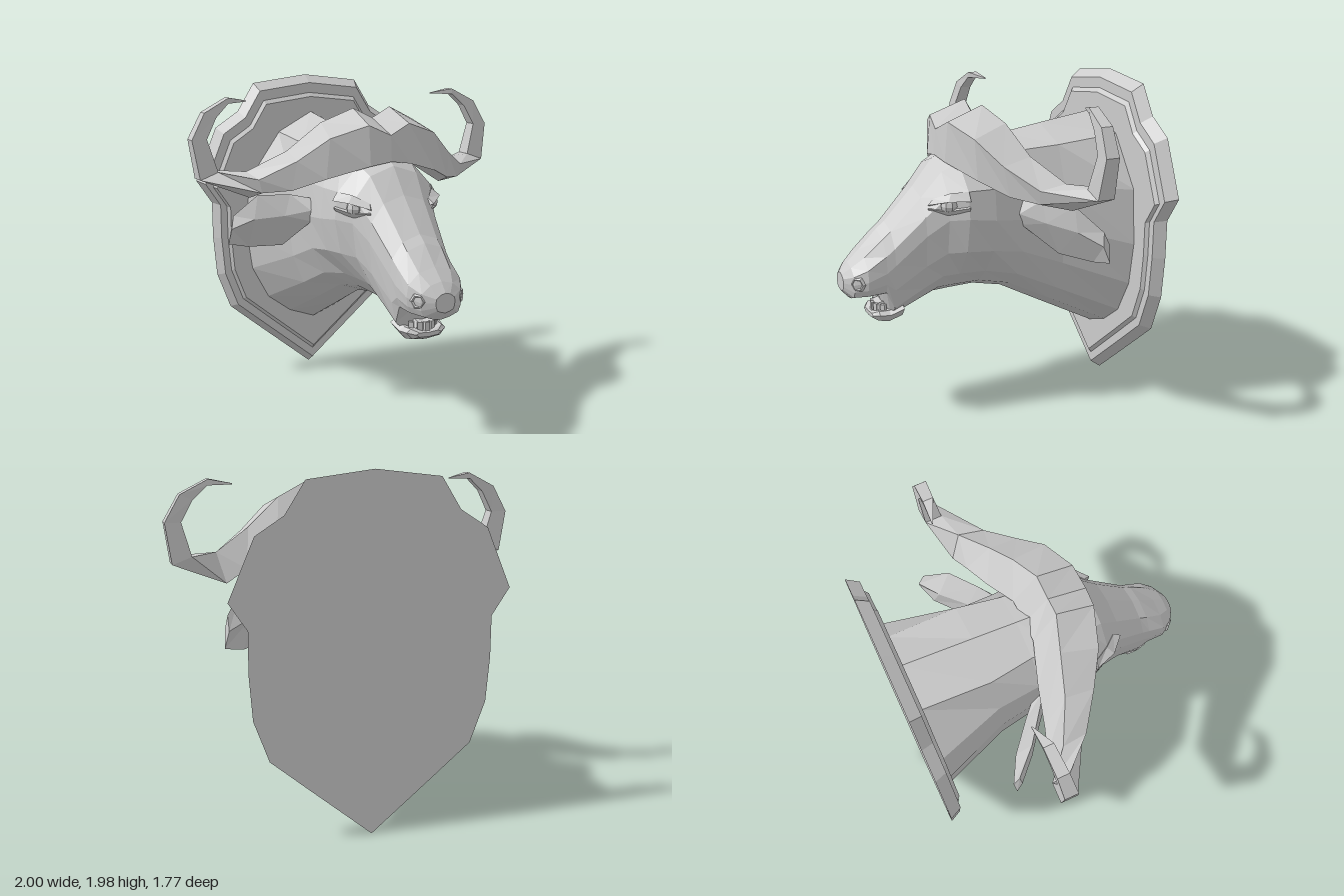
import * as THREE from 'three';

const material = new THREE.MeshStandardMaterial({ color: 0xcccccc, flatShading: true });

// Closed skin through rings of [x, y, z] points, with capped ends, facing outwards
function loft(name, rings) {
  const tris = [];
  const n = rings[0].length;
  for (let i = 0; i < rings.length - 1; i++) {
    for (let j = 0; j < n; j++) {
      const k = (j + 1) % n;
      const a = rings[i][j], b = rings[i][k], c = rings[i + 1][j], d = rings[i + 1][k];
      tris.push([a, c, b], [b, c, d]);
    }
  }
  const first = rings[0], last = rings[rings.length - 1];
  for (let j = 1; j < n - 1; j++) {
    tris.push([first[0], first[j], first[j + 1]], [last[0], last[j + 1], last[j]]);
  }
  // The signed volume tells whether the skin is inside out
  let volume = 0;
  const v = (p) => new THREE.Vector3(...p);
  for (const [a, b, c] of tris) volume += v(a).dot(v(b).cross(v(c)));
  if (volume < 0) tris.forEach((t) => t.reverse());
  const geometry = new THREE.BufferGeometry();
  geometry.setAttribute('position', new THREE.Float32BufferAttribute(tris.flat(2), 3));
  geometry.computeVertexNormals();
  const mesh = new THREE.Mesh(geometry, material);
  mesh.name = name;
  return mesh;
}

const lerp = THREE.MathUtils.lerp;
const flip = (ring) => ring.map(([x, y, z]) => [-x, y, z]);

// Full ring at depth z from a half profile running top centre to bottom centre
function symmetricRing(z, half) {
  const side = half.map(([x, y]) => [x, y, z]);
  return [...side, ...flip(side.slice(1, -1)).reverse()];
}

function addPair(group, name, rings) {
  group.add(loft(name + 'Left', rings), loft(name + 'Right', rings.map(flip)));
}

// Shield outline repeated at smaller scales to make the stepped edge
function createPlaque() {
  const outline = [[0, 1.99], [0.365, 1.945], [0.475, 1.77], [0.63, 1.67], [0.77, 1.34], [0.67, 1.19],
    [0.67, 0.96], [0.65, 0.71], [0.565, 0.48], [0.35, 0.3], [0, 0.01]];
  const steps = [[-0.89, 1], [-0.82, 0.95], [-0.82, 0.885], [-0.8, 0.86]];
  return loft('plaque', steps.map(([z, s]) =>
    symmetricRing(z, outline.map(([x, y]) => [x * s, 1 + (y - 1) * s]))));
}

// Cross-section of the head: flat brow, widest at the cheek, narrowing to the jaw
function headRing([z, top, bottom, browX, cheekX, cheekY, jawX]) {
  return symmetricRing(z, [
    [0, top],
    [browX, lerp(top, cheekY, 0.16)],
    [cheekX * 0.94, lerp(top, cheekY, 0.56)],
    [cheekX, cheekY],
    [lerp(cheekX, jawX, 0.25), lerp(cheekY, bottom, 0.4)],
    [jawX, lerp(cheekY, bottom, 0.72)],
    [jawX * 0.53, lerp(cheekY, bottom, 0.9)],
    [0, bottom],
  ]);
}

// Neck, skull and muzzle as one skin, from the plaque to the nose
function createHead() {
  // z, top, bottom, brow x, cheek x, cheek y, jaw x
  const stations = [
    [-0.81, 1.755, 0.355, 0.23, 0.475, 1.0, 0.33],
    [-0.4, 1.695, 0.565, 0.24, 0.345, 1.12, 0.25],
    [-0.14, 1.655, 0.7, 0.2, 0.33, 1.2, 0.23],
    [0.05, 1.63, 0.74, 0.2, 0.34, 1.22, 0.19],
    [0.21, 1.6, 0.735, 0.17, 0.325, 1.24, 0.18],
    [0.31, 1.54, 0.73, 0.15, 0.265, 1.23, 0.165],
    [0.43, 1.39, 0.68, 0.13, 0.22, 1.14, 0.155],
    [0.61, 1.2, 0.61, 0.11, 0.185, 0.98, 0.15],
    [0.66, 1.16, 0.77, 0.11, 0.18, 0.94, 0.155],
    [0.77, 1.05, 0.775, 0.1, 0.175, 0.9, 0.15],
    [0.84, 0.985, 0.77, 0.07, 0.13, 0.88, 0.11],
    [0.885, 0.93, 0.82, 0.03, 0.06, 0.88, 0.05],
  ];
  return loft('headAndNeck', stations.map(headRing));
}

function createMouth() {
  const group = new THREE.Group();
  group.name = 'mouth';
  group.add(loft('lowerJaw', [
    symmetricRing(0.55, [[0, 0.72], [0.12, 0.72], [0.15, 0.7], [0.11, 0.65], [0, 0.63]]),
    symmetricRing(0.63, [[0, 0.68], [0.11, 0.69], [0.14, 0.67], [0.1, 0.62], [0, 0.6]]),
    symmetricRing(0.69, [[0, 0.67], [0.1, 0.69], [0.125, 0.67], [0.09, 0.63], [0, 0.62]]),
    symmetricRing(0.72, [[0, 0.665], [0.06, 0.67], [0.08, 0.66], [0.06, 0.645], [0, 0.64]]),
  ]));
  group.add(loft('tongue', [
    symmetricRing(0.58, [[0, 0.74], [0.06, 0.75], [0.07, 0.7], [0, 0.68]]),
    symmetricRing(0.68, [[0, 0.71], [0.045, 0.72], [0.06, 0.68], [0, 0.67]]),
  ]));
  // Lower teeth in an arc
  for (let i = -2; i <= 2; i++) {
    const tooth = new THREE.Mesh(new THREE.BoxGeometry(0.03, 0.05, 0.02), material);
    tooth.name = 'tooth';
    tooth.position.set(i * 0.038, 0.695, 0.695 - i * i * 0.01);
    tooth.rotation.y = i * 0.35;
    group.add(tooth);
  }
  return group;
}

// Four-sided horn section: outer front, inner front, inner back, outer back
function hornRing([x, y, z, dx, dy, depth]) {
  return [[1, 1], [-1, 1], [-1, -1], [1, -1]].map(([o, f]) => [x + o * dx, y + o * dy, z + f * depth]);
}

// Horns and the heavy boss joining them, swept from tip to tip
function createHorns() {
  const middle = [[0, 1.56, 0.29], [0, 1.71, 0.28], [0, 1.79, 0.05], [0, 1.6, -0.09]];
  const boss = [
    [[0.13, 1.54, 0.28], [0.13, 1.77, 0.26], [0.12, 1.85, 0.04], [0.13, 1.63, -0.1]],
    [[0.36, 1.47, 0.18], [0.34, 1.7, 0.19], [0.3, 1.77, -0.02], [0.34, 1.5, -0.17]],
    [[0.52, 1.4, 0.06], [0.5, 1.57, 0.09], [0.49, 1.61, -0.08], [0.53, 1.39, -0.22]],
    [[0.66, 1.38, -0.05], [0.68, 1.46, -0.04], [0.7, 1.49, -0.19], [0.655, 1.32, -0.26]],
  ];
  // Centre x, y, z, outward offset x, y and half depth
  const hook = [
    [0.91, 1.47, -0.28, 0.055, -0.02, 0.05],
    [0.955, 1.68, -0.29, 0.045, 0, 0.04],
    [0.88, 1.815, -0.3, 0.035, 0.015, 0.035],
    [0.762, 1.893, -0.31, -0.002, 0.017, 0.03],
    [0.63, 1.882, -0.342, 0, 0.003, 0.003],
  ];
  const side = [...boss, ...hook.map(hornRing)];
  return loft('horns', [...side.map(flip).reverse(), middle, ...side]);
}

export function createModel() {
  const model = new THREE.Group();
  model.name = 'mountedHead';
  model.add(createPlaque(), createHead(), createMouth(), createHorns());

  // Drooping ears; ring order: upper edge, front, lower edge, back
  addPair(model, 'ear', [
    [[0.31, 1.31, -0.12], [0.33, 1.24, -0.1], [0.32, 1.17, -0.12], [0.31, 1.23, -0.19]],
    [[0.42, 1.33, -0.2], [0.45, 1.2, -0.21], [0.43, 1.0, -0.31], [0.4, 1.18, -0.28]],
    [[0.58, 1.32, -0.32], [0.6, 1.17, -0.33], [0.6, 0.98, -0.44], [0.55, 1.15, -0.41]],
    [[0.69, 1.18, -0.45], [0.705, 1.1, -0.44], [0.715, 1.0, -0.48], [0.69, 1.1, -0.49]],
  ]);

  // Brow and lower lid around each eye
  addPair(model, 'brow', [
    [[0.31, 1.4, 0.21], [0.34, 1.35, 0.21], [0.29, 1.34, 0.19]],
    [[0.26, 1.39, 0.3], [0.3, 1.35, 0.33], [0.24, 1.33, 0.29]],
    [[0.19, 1.35, 0.38], [0.205, 1.32, 0.42], [0.17, 1.3, 0.38]],
  ]);
  addPair(model, 'lowerLid', [
    [[0.3, 1.32, 0.2], [0.335, 1.31, 0.21], [0.29, 1.25, 0.2]],
    [[0.23, 1.3, 0.31], [0.28, 1.29, 0.33], [0.23, 1.23, 0.31]],
    [[0.19, 1.3, 0.38], [0.205, 1.3, 0.42], [0.18, 1.25, 0.38]],
  ]);

  for (const s of [1, -1]) {
    const label = s > 0 ? 'Left' : 'Right';
    const eye = new THREE.Mesh(new THREE.SphereGeometry(0.05, 8, 6), material);
    eye.name = 'eye' + label;
    eye.position.set(s * 0.245, 1.315, 0.305);
    model.add(eye);
    // Raised nostril rim
    const nostril = new THREE.Mesh(new THREE.TorusGeometry(0.035, 0.013, 4, 6), material);
    nostril.name = 'nostril' + label;
    nostril.position.set(s * 0.132, 0.885, 0.82);
    nostril.rotation.y = s * 0.8;
    model.add(nostril);
  }
  return model;
}
